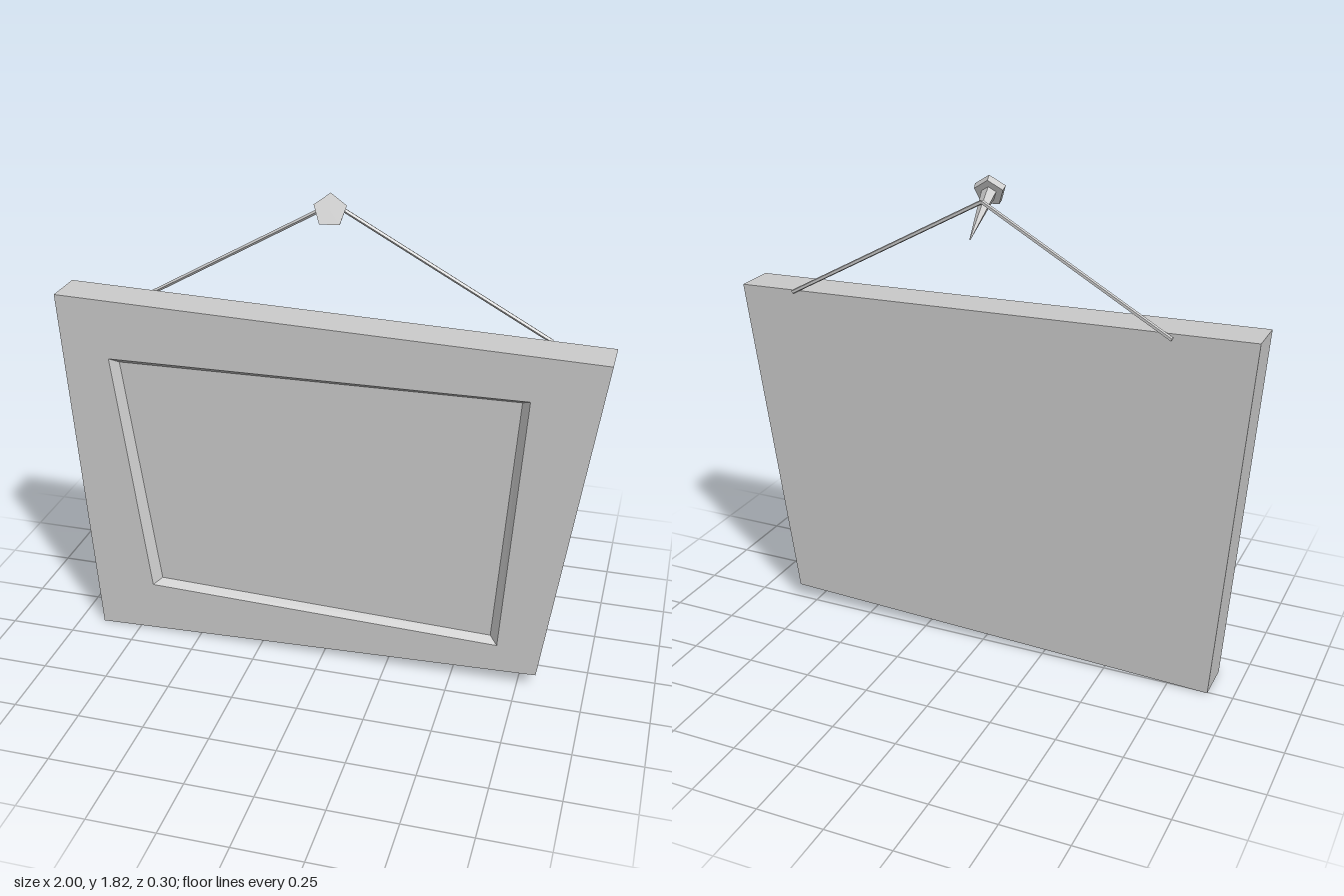
import * as THREE from 'three';

const grey = new THREE.MeshStandardMaterial({ color: 0xcccccc, flatShading: true });

function addMesh(parent, name, geometry) {
  const mesh = new THREE.Mesh(geometry, grey);
  mesh.name = name;
  parent.add(mesh);
  return mesh;
}

// Joins four-cornered rings (counter-clockwise from the front), ordered from back to front.
// Either end can be closed with a flat cap.
function loftQuads(rings, capStart, capEnd) {
  const positions = [];
  const quad = (a, b, c, d) => positions.push(...a, ...b, ...c, ...a, ...c, ...d);
  for (let r = 0; r < rings.length - 1; r++) {
    const lower = rings[r], upper = rings[r + 1];
    for (let i = 0; i < 4; i++) {
      const j = (i + 1) % 4;
      quad(lower[i], lower[j], upper[j], upper[i]);
    }
  }
  if (capStart) quad(...[...rings[0]].reverse());
  if (capEnd) quad(...rings[rings.length - 1]);
  const geometry = new THREE.BufferGeometry();
  geometry.setAttribute('position', new THREE.Float32BufferAttribute(positions, 3));
  geometry.computeVertexNormals();
  return geometry;
}

export function createModel() {
  const model = new THREE.Group();
  model.name = 'hangingPicture';

  // Crooked frame outlines, from bottom left counter-clockwise
  const outer = [[-0.905, 0], [0.82, 0.06], [1, 1.325], [-1, 1.38]];
  const opening = [[-0.685, 0.205], [0.67, 0.165], [0.735, 1.165], [-0.805, 1.15]];
  const panel = [[-0.655, 0.227], [0.64, 0.188], [0.705, 1.147], [-0.775, 1.13]];
  const at = (outline, z) => outline.map(([x, y]) => [x, y, z]);
  const back = -0.005, front = 0.152, recess = 0.125;

  // Frame with sloped inner edges, and the sunken picture panel
  addMesh(model, 'frame', loftQuads(
    [at(outer, back), at(outer, front), at(opening, front), at(panel, recess)], true, false));
  addMesh(model, 'picturePanel', loftQuads([at(panel, recess)], false, true));

  // Two straight lengths of string meeting at the nail
  const peak = new THREE.Vector3(0, 1.752, -0.012);
  const ends = {
    stringRight: new THREE.Vector3(-0.7, 1.353, -0.012),
    stringLeft: new THREE.Vector3(0.777, 1.326, -0.012),
  };
  for (const [name, end] of Object.entries(ends)) {
    const length = peak.distanceTo(end);
    const string = addMesh(model, name, new THREE.CylinderGeometry(0.008, 0.008, length, 5));
    string.position.lerpVectors(peak, end, 0.5);
    string.quaternion.setFromUnitVectors(
      new THREE.Vector3(0, 1, 0), peak.clone().sub(end).normalize());
  }

  // Five-sided nail along its local z axis, head face at the origin
  const headCentre = new THREE.Vector3(0.022, 1.767, 0.115);
  const tip = new THREE.Vector3(-0.017, 1.655, -0.148);
  const nailLength = headCentre.distanceTo(tip);
  const headDepth = 0.027;
  const shaftLength = nailLength - headDepth;
  const nail = new THREE.Group();
  nail.name = 'nail';
  addMesh(nail, 'nailHead', new THREE.CylinderGeometry(0.059, 0.055, headDepth, 5)
    .rotateX(Math.PI / 2).rotateZ(Math.PI).translate(0, 0, -headDepth / 2));
  addMesh(nail, 'nailShaft', new THREE.CylinderGeometry(0.028, 0.002, shaftLength, 5)
    .rotateX(Math.PI / 2).rotateZ(Math.PI).translate(0, 0, -headDepth - shaftLength / 2));
  nail.position.copy(headCentre);
  nail.lookAt(headCentre.clone().multiplyScalar(2).sub(tip));
  model.add(nail);

  return model;
}
